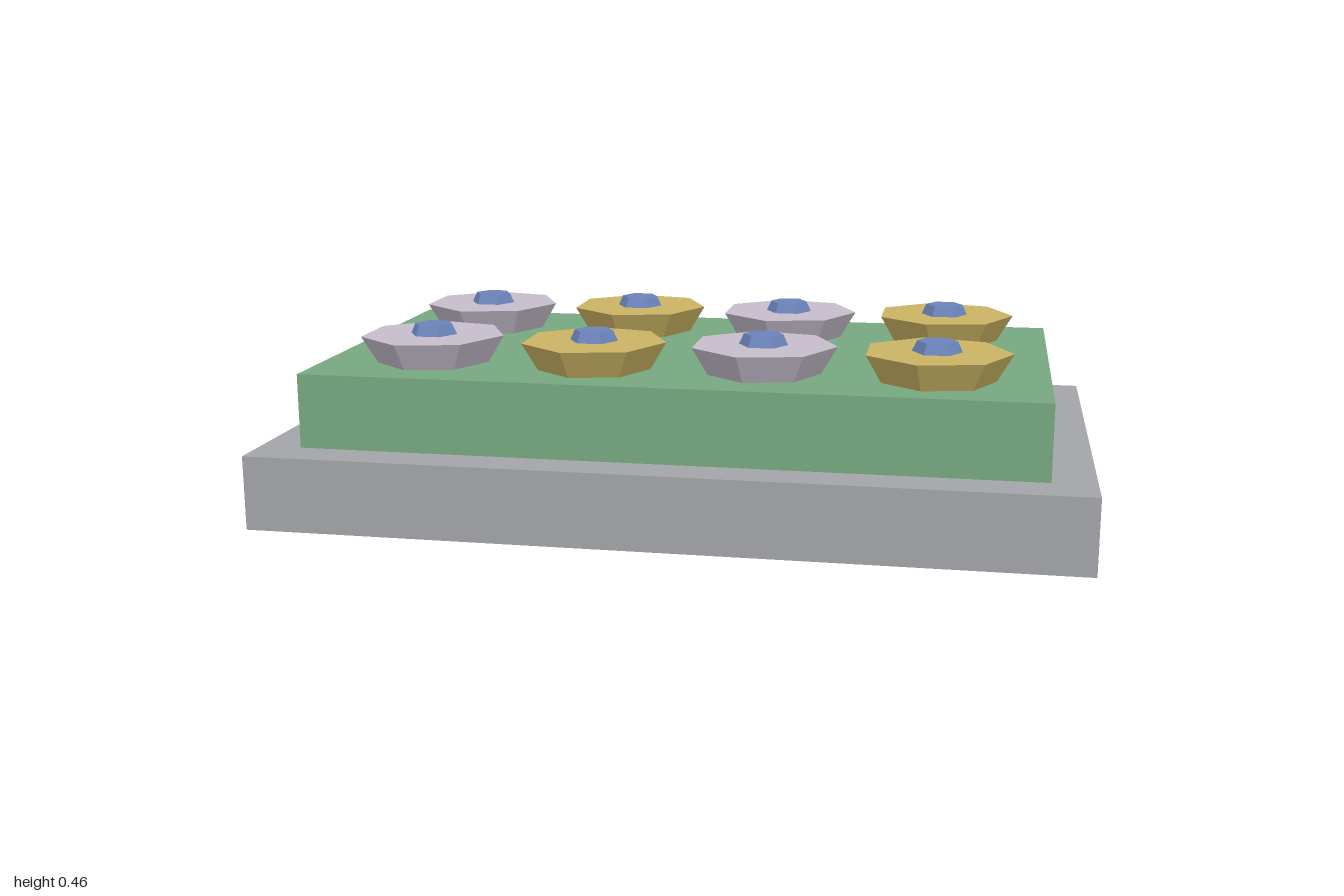
import * as THREE from 'three';

const paint = (name, color) => {
  const m = new THREE.MeshStandardMaterial({ color });
  m.name = name;
  return m;
};

export function createModel() {
  const grey = paint('stone grey', 0xa3a4a8);
  const green = paint('leaf green', 0x76a77f);
  const lilac = paint('pale lilac', 0xc5bcca);
  const gold = paint('soft gold', 0xc9b363);
  const blue = paint('button blue', 0x6c83ba);

  const model = new THREE.Group();
  model.name = 'flowerBoard';

  // Box standing on height y
  const slab = (name, w, h, d, y, material) => {
    const mesh = new THREE.Mesh(new THREE.BoxGeometry(w, h, d), material);
    mesh.name = name;
    mesh.position.y = y + h / 2;
    model.add(mesh);
  };
  slab('base', 2, 0.183, 1.166, 0, grey);
  slab('bed', 1.792, 0.183, 0.959, 0.183, green);

  // Faceted tapered disc with one corner pointing to +x
  const facetedDisc = (rTop, rBottom, h, sides) => {
    const g = new THREE.CylinderGeometry(rTop, rBottom, h, sides, 1, false, Math.PI / 2)
      .translate(0, h / 2, 0).toNonIndexed();
    g.computeVertexNormals();
    return g;
  };
  const petalGeometry = facetedDisc(0.181, 0.141, 0.068, 7);
  const centreGeometry = facetedDisc(0.048, 0.06, 0.026, 6);

  // Two rows of four flowers in alternating colours
  for (const side of [-1, 1]) {
    for (let i = 0; i < 4; i++) {
      const isGold = i % 2 === 1;
      const flower = new THREE.Group();
      flower.name = 'flower';
      flower.position.set((i - 1.5) * 0.4175, 0.366, side * (isGold ? 0.268 : 0.25));

      const petals = new THREE.Mesh(petalGeometry, isGold ? gold : lilac);
      petals.name = 'petals';
      const centre = new THREE.Mesh(centreGeometry, blue);
      centre.name = 'flowerCentre';
      centre.position.y = 0.068;
      flower.add(petals, centre);
      model.add(flower);
    }
  }
  return model;
}
